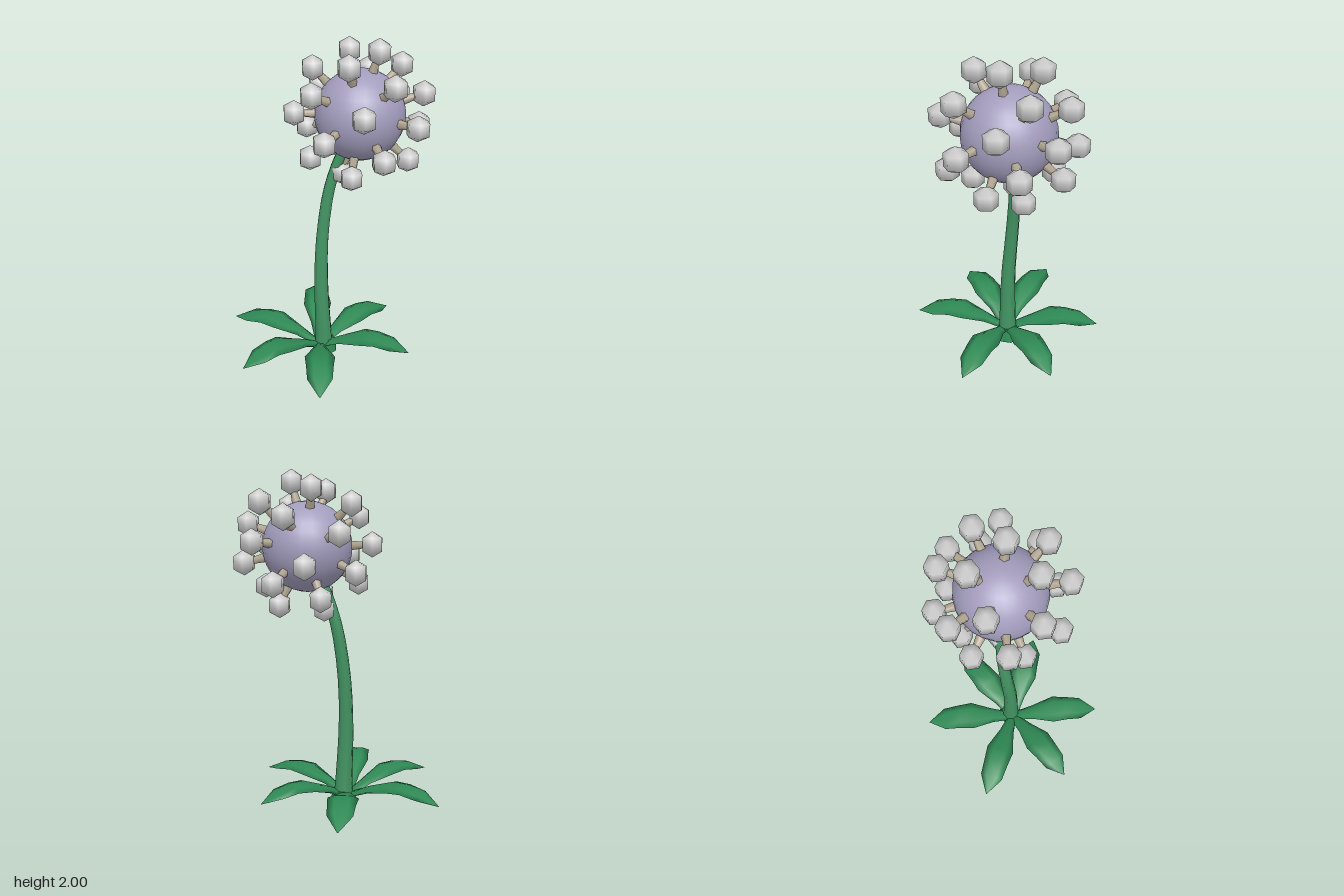
import * as THREE from 'three';

const mat = (color) => new THREE.MeshStandardMaterial({ color, roughness: 0.9 });
const stemMat = mat(0x439463);
const leafMat = mat(0x2f8a55);
const headMat = mat(0xa39dbd);
const stalkMat = mat(0xb5a994);
const knobMat = mat(0xcccccc);

function add(parent, name, geometry, material) {
  const mesh = new THREE.Mesh(geometry, material);
  mesh.name = name;
  parent.add(mesh);
  return mesh;
}

// Skin a series of closed rings that all have the same number of points
function loft(rings) {
  const n = rings[0].length;
  const index = [];
  for (let i = 0; i < rings.length - 1; i++) {
    for (let j = 0; j < n; j++) {
      const a = i * n + j, b = i * n + (j + 1) % n;
      index.push(a, b, a + n, b, b + n, a + n);
    }
  }
  const g = new THREE.BufferGeometry();
  g.setAttribute('position', new THREE.Float32BufferAttribute(rings.flat(2), 3));
  g.setIndex(index);
  g.computeVertexNormals();
  return g;
}

// Curved stem that narrows towards the head
function stemGeometry() {
  const curve = new THREE.CatmullRomCurve3([
    [0.018, 0.02, -0.025], [0.012, 0.2, -0.02], [0, 0.5, -0.018], [-0.004, 0.8, -0.04],
    [0.018, 1.08, -0.072], [0.055, 1.25, -0.095], [0.12, 1.43, -0.12],
  ].map((p) => new THREE.Vector3(...p)));
  const rings = [];
  for (let i = 0; i <= 14; i++) {
    const t = i / 14, p = curve.getPoint(t);
    const r = 0.033 + 0.027 * (1 - t) ** 2;
    rings.push(Array.from({ length: 8 }, (_, j) => {
      const a = j / 8 * Math.PI * 2;
      return [p.x + Math.sin(a) * r, p.y, p.z + Math.cos(a) * r];
    }));
  }
  return loft(rings);
}

// Arching leaf along +x: distance, height, half width, half thickness
function leafGeometry() {
  const rows = [
    [0.02, 0.05, 0.03, 0.015], [0.14, 0.11, 0.05, 0.016], [0.28, 0.16, 0.092, 0.016],
    [0.37, 0.167, 0.082, 0.015], [0.47, 0.15, 0.074, 0.012], [0.58, 0.11, 0.002, 0.001],
  ];
  const section = [[1, -0.5], [1, 0.5], [0, 1], [-1, 0.5], [-1, -0.5], [0, -1]];
  return loft(rows.map(([x, y, w, t]) => section.map(([v, u]) => [x, y + v * t, u * w])));
}

export function createModel() {
  const plant = new THREE.Group();
  plant.name = 'plant';

  // Stem and its flared foot
  add(plant, 'stem', stemGeometry(), stemMat);
  const foot = add(plant, 'stemFoot', new THREE.CylinderGeometry(0.058, 0.08, 0.09, 8), leafMat);
  foot.position.set(0.02, 0.045, -0.03);

  // Six leaves, placed by the x and z of their tips
  const leafShape = leafGeometry();
  const tips = [[-0.285, -0.52], [-0.6, 0.05], [-0.275, 0.495], [0.25, 0.53], [0.575, -0.07], [0.27, -0.5]];
  for (const [x, z] of tips) {
    const leaf = add(plant, 'leaf', leafShape, leafMat);
    const s = Math.hypot(x, z) / 0.58;
    leaf.scale.set(s, 1, 1);
    leaf.rotation.y = -Math.atan2(z, x);
  }

  // Round head
  const center = new THREE.Vector3(0.18, 1.575, -0.14);
  const head = new THREE.Group();
  head.name = 'flowerHead';
  plant.add(head);
  add(head, 'headBall', new THREE.SphereGeometry(0.255, 24, 16), headMat).position.copy(center);

  // Knobs on short tapered stalks all round the head
  const knobs = [
    [0.28, 1.935, -0.15], [0.053, 1.915, -0.265], [0.195, 1.885, 0.068], [0.433, 1.79, 0.015],
    [0.327, 1.81, -0.345], [-0.09, 1.815, -0.1], [0.02, 1.735, 0.15], [0.33, 1.655, 0.177],
    [0.13, 1.51, 0.195], [0.5, 1.7, -0.275], [0.54, 1.565, -0.07], [-0.147, 1.67, -0.29],
    [-0.147, 1.59, 0.038], [-0.156, 1.455, -0.165], [-0.03, 1.5, -0.445], [0.1, 1.755, -0.45],
    [0.17, 1.4, -0.46], [0.285, 1.62, -0.485], [0.45, 1.49, -0.377], [0.45, 1.343, -0.183],
    [0.41, 1.41, 0.083], [-0.015, 1.37, 0.07], [-0.028, 1.306, -0.3], [0.222, 1.285, 0.063],
    [0.27, 1.25, -0.29], [0.085, 1.228, -0.116],
  ];
  const knobShape = new THREE.SphereGeometry(0.073, 6, 3);
  const stalkShape = new THREE.CylinderGeometry(0.015, 0.028, 0.12, 5);
  const up = new THREE.Vector3(0, 1, 0);
  for (const k of knobs) {
    const dir = new THREE.Vector3(...k).sub(center).normalize();
    const knob = add(head, 'knob', knobShape, knobMat);
    knob.position.copy(center).addScaledVector(dir, 0.367);
    const stalk = add(head, 'knobStalk', stalkShape, stalkMat);
    stalk.position.copy(center).addScaledVector(dir, 0.305);
    stalk.quaternion.setFromUnitVectors(up, dir);
  }
  return plant;
}
